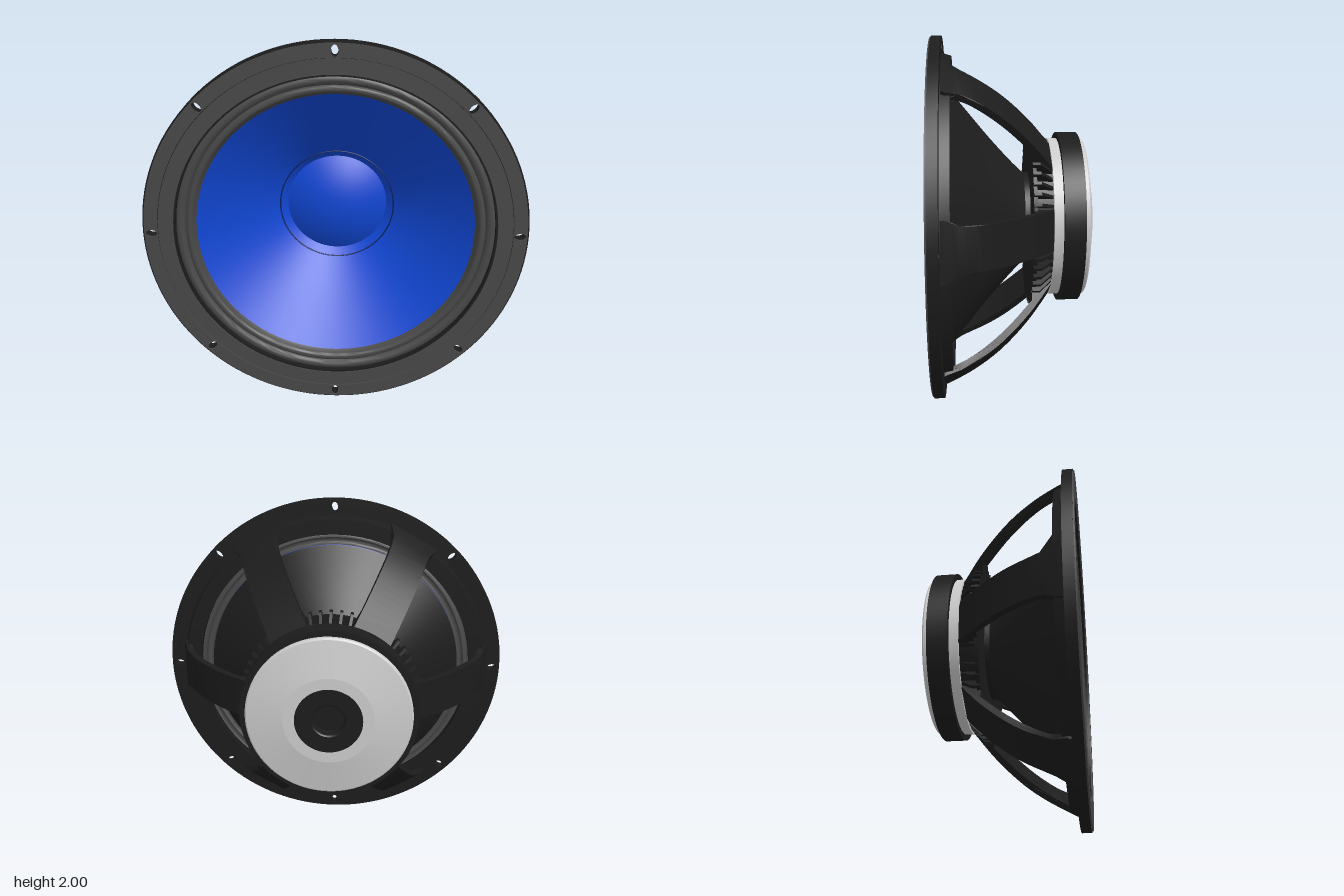
import * as THREE from 'three';
import { toCreasedNormals } from 'three/addons/utils/BufferGeometryUtils.js';

const SEG = 96;
const mat = (color) => new THREE.MeshStandardMaterial({ color, side: THREE.DoubleSide });

export function createModel() {
  const model = new THREE.Group();
  const axis = new THREE.Group(); // everything turns about the z axis at y = 1
  axis.name = 'loudspeaker';
  axis.position.y = 1;
  model.add(axis);

  const black = mat(0x1c1c1c);
  const rubber = mat(0x484848);
  const blue = mat(0x1046d2);
  const steel = mat(0xcccccc);

  const add = (name, geometry, material, parent = axis) => {
    const mesh = new THREE.Mesh(geometry, material);
    mesh.name = name;
    parent.add(mesh);
    return mesh;
  };
  // Revolve [radius, z] points about z
  const lathe = (name, points, material, crease = 0.5) => {
    const g = new THREE.LatheGeometry(points.map(([r, z]) => new THREE.Vector2(r, z)), SEG);
    g.rotateX(Math.PI / 2);
    return add(name, toCreasedNormals(g, crease), material);
  };
  // Closed ring with rectangular section
  const ring = (name, r0, r1, z0, z1, material) =>
    lathe(name, [[r0, z0], [r1, z0], [r1, z1], [r0, z1], [r0, z0]], material);
  const curve = (points, n) =>
    new THREE.SplineCurve(points.map(([x, y]) => new THREE.Vector2(x, y))).getPoints(n);

  // Mounting rim and gasket, pierced by eight slots
  const slottedRing = (name, inner, outer, z0, z1, material) => {
    const shape = new THREE.Shape().absarc(0, 0, outer, 0, Math.PI * 2);
    shape.holes.push(new THREE.Path().absarc(0, 0, inner, 0, Math.PI * 2, true));
    for (let i = 0; i < 8; i++) {
      const a = (i * Math.PI) / 4;
      shape.holes.push(new THREE.Path().absellipse(
        0.955 * Math.cos(a), 0.955 * Math.sin(a), 0.029, 0.018, 0, Math.PI * 2, true, a));
    }
    const g = new THREE.ExtrudeGeometry(shape, { depth: z1 - z0, bevelEnabled: false, curveSegments: 64 });
    g.translate(0, 0, z0);
    add(name, toCreasedNormals(g, 0.5), material);
  };
  slottedRing('rim', 0.83, 1, 0.37, 0.424, black);
  slottedRing('outerGasket', 0.922, 0.992, 0.424, 0.432, rubber);
  ring('innerGasket', 0.84, 0.919, 0.42, 0.43, rubber);
  lathe('rimStep', [[0.81, 0.32], [0.895, 0.32], [0.91, 0.37], [0.81, 0.37], [0.81, 0.32]], black);

  // Rolled surround
  const surround = [[0.845, 0.428], [0.835, 0.41]];
  for (const [centre, half, height] of [[0.808, 0.026, 0.025], [0.762, 0.02, 0.018]]) {
    for (let i = 0; i <= 10; i++) {
      const t = (i * Math.PI) / 10;
      surround.push([centre + half * Math.cos(t), 0.385 + height * Math.sin(t)]);
    }
  }
  surround.push([0.73, 0.365]);
  lathe('surround', surround, rubber, 0.9);

  // Cone: coloured front, dark back
  const conePts = curve([[0.742, 0.372], [0.6, 0.255], [0.45, 0.13], [0.32, 0.012], [0.25, -0.06]], 24)
    .map((p) => [p.x, p.y]);
  lathe('cone', conePts, blue, 0.8);
  lathe('coneBack', [...conePts.map(([r, z]) => [r, z - 0.012]).reverse()], black, 0.8);
  lathe('coneNeck', [[0.25, -0.15], [0.25, -0.072]], black);

  // Dust cap with its glue line
  const cap = [];
  for (let i = 0; i <= 16; i++) {
    const r = 0.28 * (1 - i / 16);
    cap.push([r, -0.025 + 0.085 * (1 - (r / 0.28) ** 2)]);
  }
  lathe('dustCap', cap, blue, 0.8);
  const seam = new THREE.TorusGeometry(0.32, 0.004, 6, SEG);
  seam.translate(0, 0, 0.014);
  add('coneSeam', seam, mat(0x0a2260));

  // Basket hub
  lathe('hub', [[0.24, -0.21], [0.42, -0.21], [0.425, -0.12], [0.475, -0.12],
    [0.475, -0.1], [0.24, -0.1], [0.24, -0.21]], black);

  // Six curved arms, flaring where they meet the rim
  const outerEdge = curve([[0.915, 0.365], [0.86, 0.24], [0.775, 0.11], [0.68, 0.002], [0.56, -0.107], [0.42, -0.21]], 20);
  const innerEdge = curve([[0.515, -0.1], [0.64, 0.015], [0.735, 0.12], [0.81, 0.225], [0.865, 0.33], [0.87, 0.365]], 20);
  const profile = new THREE.Shape([...outerEdge,
    new THREE.Vector2(0.3, -0.21), new THREE.Vector2(0.3, -0.1), ...innerEdge]);
  const armGeo = new THREE.ExtrudeGeometry(profile, { depth: 0.22, bevelEnabled: false });
  armGeo.translate(0, 0, -0.11);
  const pos = armGeo.attributes.position;
  for (let i = 0; i < pos.count; i++) {
    const t = THREE.MathUtils.clamp((pos.getY(i) - 0.22) / 0.12, 0, 1);
    pos.setZ(i, pos.getZ(i) * (1 + 0.35 * t * t));
  }
  armGeo.rotateX(Math.PI / 2);
  const arm = toCreasedNormals(armGeo, 0.5);

  // Cooling fins on the hub between the arms
  const finShape = new THREE.Shape([[0.4, -0.205], [0.435, -0.205], [0.5, -0.14], [0.5, -0.1], [0.4, -0.1]]
    .map(([x, y]) => new THREE.Vector2(x, y)));
  const fin = new THREE.ExtrudeGeometry(finShape, { depth: 0.016, bevelEnabled: false });
  fin.translate(0, 0, -0.008);
  fin.rotateX(Math.PI / 2);

  for (let i = 0; i < 6; i++) {
    const a = (i * Math.PI) / 3;
    add('arm', arm, black).rotation.z = a;
    for (let j = -2; j <= 2; j++) {
      add('fin', fin, black).rotation.z = a + Math.PI / 6 + j * 0.115;
    }
  }

  // Magnet stack
  ring('frontPlate', 0.1, 0.442, -0.26, -0.208, steel);
  ring('magnet', 0.1, 0.475, -0.37, -0.258, black);
  lathe('backPlate', [[0.18, -0.436], [0.24, -0.436], [0.435, -0.4], [0.443, -0.392],
    [0.443, -0.368], [0.18, -0.368]], steel, 0.15);
  lathe('polePiece', [[0, -0.37], [0.085, -0.37], [0.085, -0.427], [0.092, -0.434],
    [0.182, -0.434]].reverse().map(([r, z]) => [r, z]).reverse(), black, 0.4);

  return model;
}
